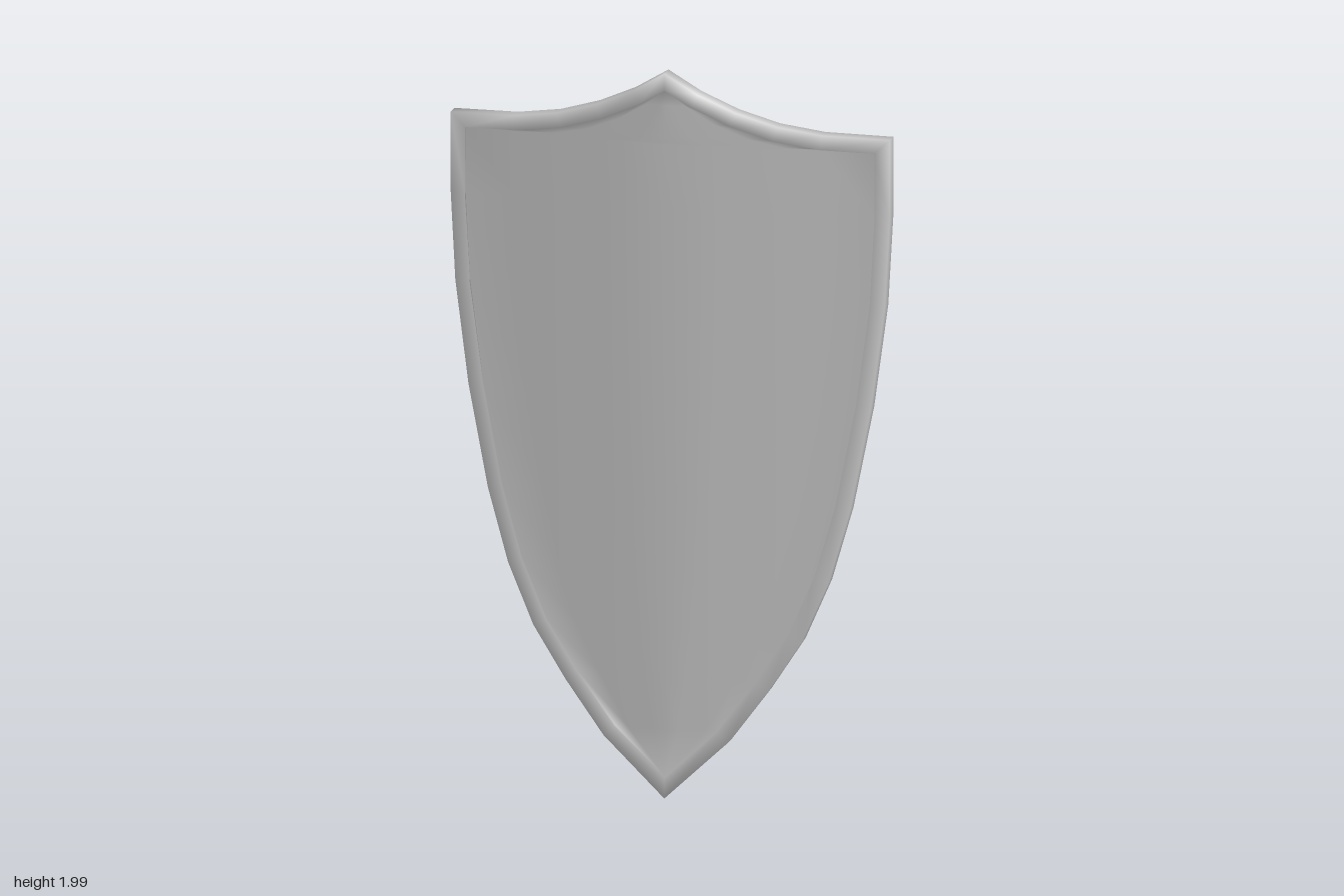
import * as THREE from 'three';
import { mergeVertices, toCreasedNormals } from 'three/addons/utils/BufferGeometryUtils.js';

const material = new THREE.MeshStandardMaterial({ color: 0xcccccc });

// Half outline, clockwise from the top point to the bottom tip
const HALF = [
  [0, 2], [0.09, 1.945], [0.19, 1.9], [0.3, 1.866], [0.42, 1.847], [0.6, 1.84],
  [0.6, 1.62], [0.587, 1.38], [0.55, 1.1], [0.495, 0.82], [0.438, 0.62],
  [0.367, 0.455], [0.277, 0.315], [0.17, 0.17], [0, 0.01],
].map(([x, y]) => new THREE.Vector2(x, y));

const RIM_WIDTH = 0.04;
const PANEL_HALF = 0.011;
const bow = (x) => 0.155 - 0.065 * Math.abs(x) - 0.06 * x * x;
const rimHalf = (x) => 0.023 - 0.006 * Math.abs(x);

// Mitred offset of a polyline to the right of its direction
function offset(points, d, closed) {
  const n = points.length;
  const normal = (a, b) => new THREE.Vector2(b.y - a.y, a.x - b.x).normalize();
  return points.map((p, i) => {
    const prev = closed || i > 0 ? normal(points[(i + n - 1) % n], p) : null;
    const next = closed || i < n - 1 ? normal(p, points[(i + 1) % n]) : null;
    const a = prev || next, b = next || prev;
    return p.clone().addScaledVector(a.clone().add(b), d / (1 + a.dot(b)));
  });
}

function surface(grid, closed, flip) {
  const rows = grid.length, cols = grid[0].length, index = [];
  for (let i = 0; i < rows - 1; i++) {
    for (let j = 0; j < (closed ? cols : cols - 1); j++) {
      const k = (j + 1) % cols;
      const a = i * cols + j, b = i * cols + k, c = a + cols, d = b + cols;
      if (flip) index.push(a, d, c, a, b, d);
      else index.push(a, c, d, a, d, b);
    }
  }
  return { positions: grid.flat(2), index };
}

// Rim and recessed panel share vertices so the shading flows across them
function shieldBody() {
  const outer = [...HALF, ...HALF.slice(1, -1).reverse().map((p) => new THREE.Vector2(-p.x, p.y))];
  const inner = offset(outer, RIM_WIDTH, true);
  const ring = (loop, side, half) => loop.map((p) => [p.x, p.y, bow(p.x) + side * half(p.x)]);
  const panelHalf = () => PANEL_HALF;
  const rim = surface([
    ring(inner, 1, panelHalf), ring(inner, 1, rimHalf), ring(outer, 1, rimHalf),
    ring(outer, -1, rimHalf), ring(inner, -1, rimHalf), ring(inner, -1, panelHalf),
  ], true, true);

  // Panel rows run straight across between mirrored outline points
  const steps = [-1, -0.75, -0.5, -0.25, 0, 0.25, 0.5, 0.75, 1];
  const panel = (side) => surface(inner.slice(0, HALF.length).map((p) =>
    steps.map((t) => [p.x * t, p.y, bow(p.x * t) + side * PANEL_HALF])), false, side < 0);

  const positions = [], index = [];
  for (const part of [rim, panel(1), panel(-1)]) {
    const base = positions.length / 3;
    positions.push(...part.positions);
    index.push(...part.index.map((i) => i + base));
  }
  const geometry = new THREE.BufferGeometry();
  geometry.setAttribute('position', new THREE.Float32BufferAttribute(positions, 3));
  geometry.setIndex(index);
  const merged = mergeVertices(geometry, 1e-4);
  merged.computeVertexNormals();
  return merged;
}

// Bent strap with feet turned outward along the back of the panel
function strap(half, top, height) {
  const mirrored = [...half, ...half.slice(0, -1).reverse().map(([x, z]) => [-x, z])];
  const arc = new THREE.SplineCurve(mirrored.map(([x, z]) => new THREE.Vector2(x, z))).getPoints(24);
  const foot = (x) => new THREE.Vector2(x, bow(x) - PANEL_HALF - 0.004);
  const reach = Math.abs(half[0][0]);
  const path = [foot(-reach - 0.065), foot(-reach), ...arc.slice(1, -1), foot(reach), foot(reach + 0.065)];
  const shape = new THREE.Shape([...offset(path, 0.005, false), ...offset(path, -0.005, false).reverse()]);
  const geometry = new THREE.ExtrudeGeometry(shape, { depth: height, bevelEnabled: false });
  geometry.rotateX(Math.PI / 2).translate(0, top, 0);
  return toCreasedNormals(geometry, 0.6);
}

export function createModel() {
  const group = new THREE.Group();
  group.name = 'shield';
  const add = (name, geometry) => {
    const mesh = new THREE.Mesh(geometry, material);
    mesh.name = name;
    group.add(mesh);
  };
  add('shieldBody', shieldBody());
  add('upperStrap', strap(
    [[-0.195, 0.12], [-0.145, 0.01], [-0.1, -0.058], [-0.05, -0.089], [0, -0.098]], 1.535, 0.085));
  add('lowerStrap', strap(
    [[-0.24, 0.12], [-0.206, -0.045], [-0.16, -0.122], [-0.085, -0.165], [0, -0.178]], 0.99, 0.083));
  return group;
}
